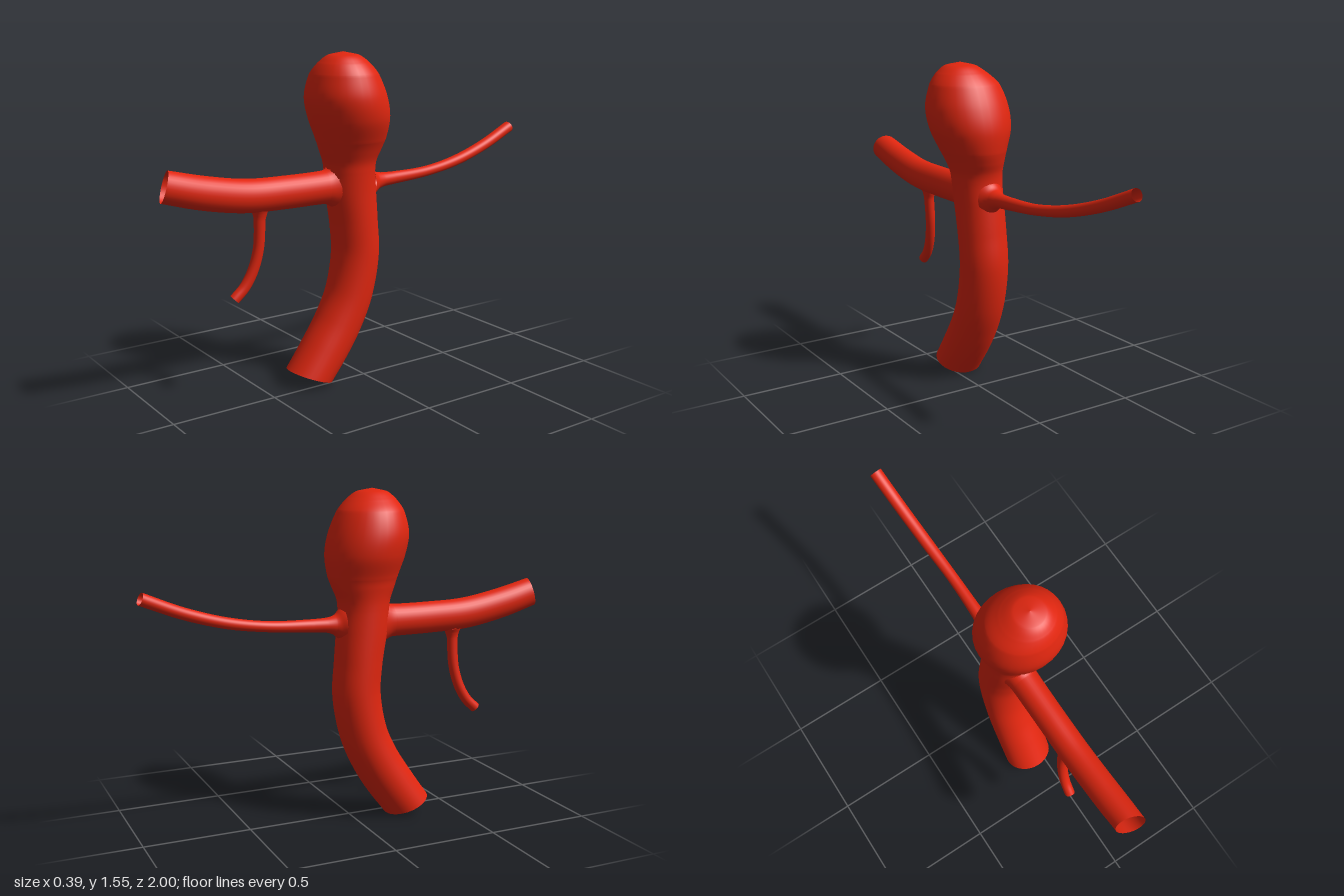
import * as THREE from 'three';

const material = new THREE.MeshStandardMaterial({ color: 0xe0260f, side: THREE.DoubleSide });
const SIDES = 32;

// Sweeps an elliptical ring through stations [x, y, z, radiusA, radiusB].
// ringNormal can retilt a ring; isHole drops faces to open a mouth for a branch.
function sweep(name, stations, rows, { ringNormal = (p, t) => t, isHole = () => false } = {}) {
  const path = new THREE.CatmullRomCurve3(stations.map(([x, y, z]) => new THREE.Vector3(x, y, z)));
  const radii = new THREE.CatmullRomCurve3(
    stations.map((s) => new THREE.Vector3(s[3], s[4], 0)), false, 'catmullrom', 0.5);
  const points = [];
  for (let i = 0; i <= rows; i++) {
    const u = i / rows;
    const p = path.getPoint(u);
    const r = radii.getPoint(u);
    const n = ringNormal(p, path.getTangent(u)).normalize();
    const a = new THREE.Vector3(1, 0, 0).projectOnPlane(n).normalize();
    const b = n.clone().cross(a);
    for (let j = 0; j < SIDES; j++) {
      const angle = (j / SIDES) * Math.PI * 2;
      points.push(p.clone()
        .addScaledVector(a, Math.cos(angle) * Math.max(r.x, 0))
        .addScaledVector(b, Math.sin(angle) * Math.max(r.y, 0)));
    }
  }
  const index = [];
  for (let i = 0; i < rows; i++) {
    for (let j = 0; j < SIDES; j++) {
      const k = (j + 1) % SIDES;
      const [a, b, c, d] = [i * SIDES + j, i * SIDES + k, (i + 1) * SIDES + k, (i + 1) * SIDES + j];
      const middle = points[a].clone().add(points[c]).multiplyScalar(0.5);
      if (!isHole(middle)) index.push(a, b, c, a, c, d);
    }
  }
  const geometry = new THREE.BufferGeometry().setFromPoints(points);
  geometry.setIndex(index);
  geometry.computeVertexNormals();
  const mesh = new THREE.Mesh(geometry, material);
  mesh.name = name;
  return mesh;
}

const inEllipse = (u, v, ru, rv) => (u / ru) ** 2 + (v / rv) ** 2 < 1;

export function createModel() {
  const group = new THREE.Group();
  group.name = 'vesselWithBulge';

  // Main vessel: curved open trunk swelling into a closed, tilted bulb
  const up = new THREE.Vector3(0, 1, 0);
  const bottomCut = new THREE.Vector3(0, 0.93, -0.36);
  group.add(sweep('trunkAndBulb', [
    [-0.058, 0.04, 0.275, 0.116, 0.112],
    [-0.055, 0.15, 0.195, 0.116, 0.112],
    [-0.052, 0.27, 0.118, 0.116, 0.112],
    [-0.048, 0.41, 0.055, 0.116, 0.112],
    [-0.044, 0.6, 0.02, 0.116, 0.113],
    [-0.04, 0.75, 0.03, 0.116, 0.113],
    [-0.035, 0.9, 0.05, 0.116, 0.12],
    [-0.03, 1.0, 0.06, 0.118, 0.12],
    [-0.027, 1.05, 0.062, 0.122, 0.127],
    [-0.02, 1.1, 0.063, 0.135, 0.147],
    [-0.012, 1.15, 0.065, 0.153, 0.165],
    [-0.005, 1.25, 0.079, 0.19, 0.186],
    [0, 1.35, 0.1, 0.195, 0.185],
    [0.005, 1.45, 0.112, 0.165, 0.152],
    [0.015, 1.5, 0.12, 0.12, 0.115],
    [0.02, 1.535, 0.125, 0.07, 0.07],
    [0.02, 1.55, 0.127, 0, 0],
  ], 160, {
    ringNormal: (p, t) => t
      .lerp(bottomCut, 1 - THREE.MathUtils.smoothstep(p.y, 0.04, 0.25))
      .lerp(up, THREE.MathUtils.smoothstep(p.y, 0.6, 1)),
    isHole: (p) => (p.z > 0.1 && inEllipse(p.x + 0.035, p.y - 0.94, 0.066, 0.085))
      || (p.z < 0 && inEllipse(p.x + 0.035, p.y - 0.935, 0.05, 0.05)),
  }));

  // Wide front branch with a slanted open end
  const frontCut = new THREE.Vector3(-0.28, 0.27, 0.92);
  group.add(sweep('frontBranch', [
    [-0.035, 0.938, 0.13, 0.08, 0.11],
    [-0.035, 0.938, 0.165, 0.071, 0.092],
    [-0.035, 0.938, 0.2, 0.068, 0.077],
    [-0.035, 0.938, 0.4, 0.066, 0.075],
    [-0.035, 0.945, 0.6, 0.066, 0.075],
    [-0.035, 0.98, 0.8, 0.066, 0.074],
    [-0.035, 1.027, 0.98, 0.066, 0.07],
  ], 96, {
    ringNormal: (p, t) => t.lerp(frontCut, THREE.MathUtils.smoothstep(p.z, 0.8, 0.98)),
    isHole: (p) => p.y < 0.92 && inEllipse(p.x + 0.043, p.z - 0.53, 0.025, 0.025),
  }));

  // Thin back branch, flared where it leaves the trunk
  group.add(sweep('backBranch', [
    [-0.035, 0.935, -0.05, 0.07, 0.078],
    [-0.035, 0.935, -0.07, 0.055, 0.062],
    [-0.035, 0.936, -0.09, 0.045, 0.045],
    [-0.035, 0.938, -0.13, 0.036, 0.034],
    [-0.034, 0.94, -0.2, 0.03, 0.03],
    [-0.035, 0.951, -0.4, 0.026, 0.025],
    [-0.047, 0.983, -0.6, 0.028, 0.026],
    [-0.064, 1.042, -0.8, 0.029, 0.027],
    [-0.082, 1.118, -0.985, 0.03, 0.028],
  ], 72));

  // Small twig hanging from the front branch
  group.add(sweep('lowerTwig', [
    [-0.043, 0.877, 0.53, 0.038, 0.042],
    [-0.043, 0.857, 0.53, 0.03, 0.034],
    [-0.044, 0.83, 0.531, 0.025, 0.027],
    [-0.053, 0.7, 0.535, 0.024, 0.025],
    [-0.062, 0.6, 0.56, 0.024, 0.025],
    [-0.07, 0.525, 0.6, 0.024, 0.025],
    [-0.075, 0.475, 0.65, 0.024, 0.025],
  ], 48));

  return group;
}
